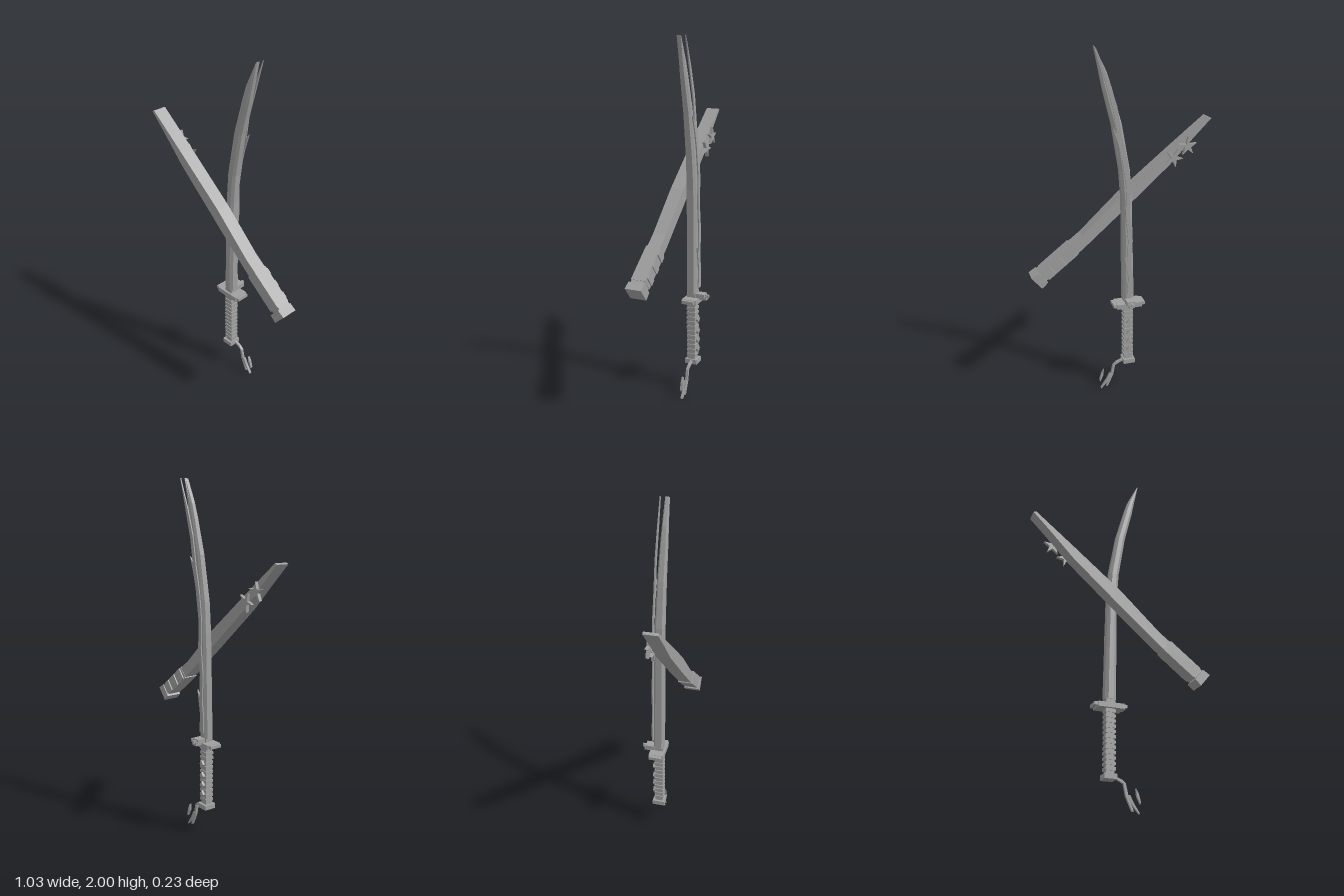
import * as THREE from 'three';

const steel = new THREE.MeshStandardMaterial({ color: 0xa0a0a0 });
steel.name = 'grey';

function add(parent, name, geo) {
  const mesh = new THREE.Mesh(geo, steel);
  mesh.name = name;
  parent.add(mesh);
  return mesh;
}

// Box given by its limits on each axis
function box(parent, name, x0, x1, y0, y1, z0, z1) {
  const mesh = add(parent, name, new THREE.BoxGeometry(x1 - x0, y1 - y0, z1 - z0));
  mesh.position.set((x0 + x1) / 2, (y0 + y1) / 2, (z0 + z1) / 2);
  return mesh;
}

// Flat outline in xy, extruded from z0 to z1
function prism(parent, name, pts, z0, z1) {
  const shape = new THREE.Shape(pts.map(p => new THREE.Vector2(p[0], p[1])));
  const geo = new THREE.ExtrudeGeometry(shape, { depth: z1 - z0, bevelEnabled: false });
  geo.translate(0, 0, z0);
  return add(parent, name, geo);
}

// Blade lofted from octagonal sections: [y, left x, right x, half depth]
function bladeGeometry(rows) {
  const ring = [[-1, 0.6], [-0.45, 1], [0.45, 1], [1, 0.6], [1, -0.6], [0.45, -1], [-0.45, -1], [-1, -0.6]];
  const pos = [], idx = [], n = ring.length;
  for (const [y, l, r, h] of rows)
    for (const [u, v] of ring) pos.push((l + r) / 2 + u * (r - l) / 2, y, -0.022 + v * h);
  for (let i = 0; i < rows.length - 1; i++)
    for (let j = 0; j < n; j++) {
      const a = i * n + j, b = i * n + (j + 1) % n;
      idx.push(a, b, b + n, a, b + n, a + n);
    }
  const last = (rows.length - 1) * n;
  for (let j = 1; j < n - 1; j++) idx.push(0, j + 1, j, last, last + j, last + j + 1);
  const geo = new THREE.BufferGeometry();
  geo.setAttribute('position', new THREE.Float32BufferAttribute(pos, 3));
  geo.setIndex(idx);
  const flat = geo.toNonIndexed();
  flat.computeVertexNormals();
  return flat;
}

function buildSword() {
  const g = new THREE.Group();
  g.name = 'sword';

  add(g, 'blade', bladeGeometry([
    [0.585, -0.056, 0.008, 0.03], [1.18, -0.042, 0.013, 0.029], [1.35, -0.031, 0.026, 0.027],
    [1.6, 0.013, 0.067, 0.023], [1.79, 0.065, 0.114, 0.019], [1.87, 0.09, 0.13, 0.016],
    [2.0, 0.153, 0.157, 0.012],
  ]));

  // Wavy flame ornament behind the blade
  prism(g, 'flameOrnament', [
    [-0.045, 0.62], [-0.01, 0.62], [-0.018, 0.72], [0.006, 0.86], [-0.012, 0.83], [-0.016, 0.95],
    [-0.002, 1.1], [-0.006, 1.25], [0.02, 1.42], [0.04, 1.5], [0.07, 1.59], [0.047, 1.56],
    [0.065, 1.68], [0.11, 1.84], [0.155, 2.0], [0.09, 1.84], [0.045, 1.7], [0.02, 1.55],
    [-0.012, 1.4], [-0.03, 1.25], [-0.025, 1.1], [-0.042, 0.95], [-0.034, 0.8], [-0.046, 0.72],
  ], -0.063, -0.056);

  box(g, 'bladeCollar', -0.048, 0.001, 0.555, 0.59, -0.046, 0.003);
  box(g, 'guardWide', -0.117, 0.068, 0.543, 0.561, -0.064, 0.008);
  box(g, 'guardPlate', -0.097, 0.05, 0.535, 0.563, -0.07, 0.015);
  box(g, 'guardLug', -0.048, 0.0, 0.563, 0.588, -0.1, -0.05);
  box(g, 'guardLugBase', -0.042, -0.008, 0.553, 0.575, -0.11, -0.05);
  box(g, 'guardLugTip', -0.032, -0.018, 0.565, 0.582, -0.12, -0.09);

  // Grip with evenly spaced wrapping
  box(g, 'grip', -0.047, -0.001, 0.18, 0.54, -0.043, 0.0);
  for (let i = 0; i < 12; i++) {
    const y = 0.205 + i * 0.028;
    box(g, 'gripWrap', -0.052, 0.004, y, y + 0.017, -0.047, 0.004);
  }
  for (const y of [0.25, 0.305, 0.36, 0.43]) {
    prism(g, 'gripDiamond',
      [[-0.04, y], [-0.024, y - 0.022], [-0.008, y], [-0.024, y + 0.022]], -0.06, -0.045);
  }
  box(g, 'pommel', -0.06, 0.008, 0.16, 0.187, -0.058, 0.013);

  // Torn cord hanging from the pommel
  const z0 = -0.035, z1 = -0.02;
  prism(g, 'cord', [[0.005, 0.183], [0.005, 0.173], [0.055, 0.148], [0.068, 0.15], [0.048, 0.168]], z0, z1);
  prism(g, 'cordStrand', [[0.054, 0.152], [0.067, 0.085], [0.1, 0.012], [0.11, 0.012],
    [0.082, 0.085], [0.068, 0.15]], z0, z1);
  prism(g, 'cordStrand', [[0.08, 0.09], [0.1, 0.045], [0.14, 0.0], [0.143, 0.006], [0.11, 0.055],
    [0.09, 0.095]], z0, z1);
  prism(g, 'cordScrap', [[0.124, 0.13], [0.128, 0.09], [0.147, 0.05], [0.15, 0.06], [0.14, 0.1]], z0, z1);
  return g;
}

function buildScabbard() {
  const g = new THREE.Group();
  g.name = 'scabbard';

  prism(g, 'scabbardBody', [
    [-0.52, 1.58], [-0.415, 1.474], [-0.283, 1.335], [0, 1.083], [0.22, 0.892], [0.43, 0.73],
    [0.478, 0.775], [0.22, 0.972], [0, 1.18], [-0.283, 1.41], [-0.505, 1.587],
  ], 0.027, 0.103);
  prism(g, 'scabbardMouth', [[0.474, 0.78], [0.424, 0.718], [0.458, 0.686], [0.515, 0.754]], 0.022, 0.115);

  // Sleeve and raised bands near the mouth
  const slope = -0.665;
  const sleeve = new THREE.Group();
  sleeve.name = 'sleeve';
  sleeve.position.set(0.345, 0.835, 0);
  sleeve.rotation.z = slope;
  g.add(sleeve);
  box(sleeve, 'sleeveBody', -0.1, 0.12, -0.037, 0.037, 0.025, 0.108);
  for (const x of [-0.085, -0.01, 0.065]) box(sleeve, 'sleeveBand', x, x + 0.035, -0.034, 0.034, 0.018, 0.03);

  // Throwing stars fixed to the back
  for (const [x, y, turn] of [[-0.382, 1.435, 0.3], [-0.303, 1.375, 0.75]]) {
    const pts = [];
    for (let i = 0; i < 10; i++) {
      const r = i % 2 ? 0.018 : 0.053, a = turn + i * Math.PI / 5;
      pts.push([x + r * Math.cos(a), y + r * Math.sin(a)]);
    }
    prism(g, 'throwingStar', pts, 0.01, 0.029);
  }
  return g;
}

export function createModel() {
  const model = new THREE.Group();
  model.name = 'swordAndScabbard';
  model.add(buildSword(), buildScabbard());
  return model;
}
